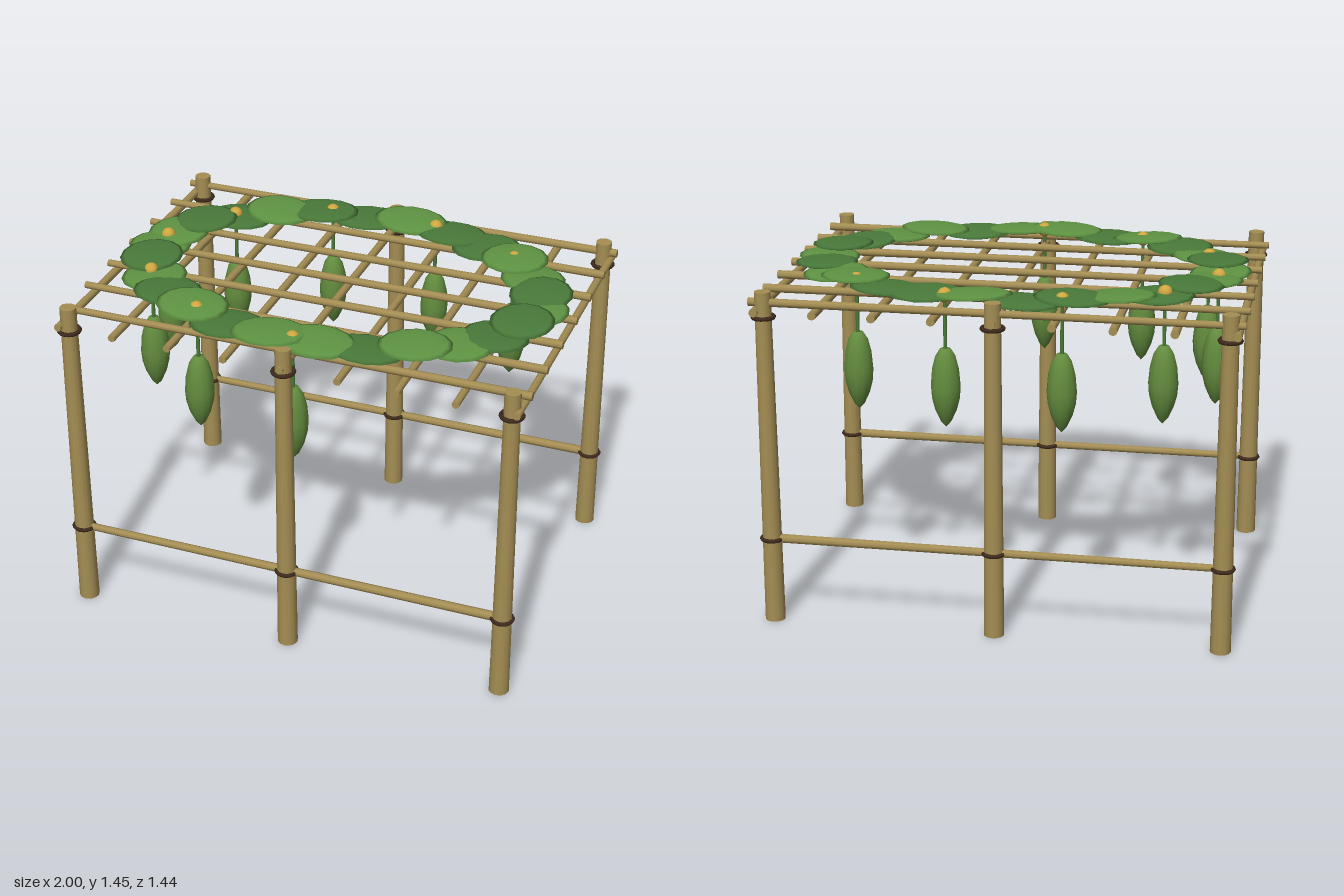
import * as THREE from 'three';

const mat = (color) => new THREE.MeshStandardMaterial({ color });

export function createModel() {
  const model = new THREE.Group();
  const bamboo = mat(0xa58e54), lash = mat(0x3f2b1d), vine = mat(0x4c7c38);
  const gourdMat = mat(0x638c3e), flowerMat = mat(0xcfa640);
  const darkLeaf = mat(0x4a7a3a), lightLeaf = mat(0x5f9443);

  const add = (name, geometry, material, x, y, z) => {
    const mesh = new THREE.Mesh(geometry, material);
    mesh.name = name;
    mesh.position.set(x, y, z);
    model.add(mesh);
    return mesh;
  };

  // Six tapered posts, each lashed near the top and at the lower rail
  const postGeo = new THREE.CylinderGeometry(0.034, 0.043, 1.43, 12);
  const lashGeo = new THREE.TorusGeometry(0.043, 0.009, 6, 16).rotateX(Math.PI / 2);
  const railGeo = new THREE.CylinderGeometry(0.016, 0.02, 1.88, 8).rotateZ(Math.PI / 2);
  for (const z of [-0.67, 0.67]) {
    for (const x of [-0.94, 0, 0.94]) {
      add('post', postGeo, bamboo, x, 0.715, z);
      add('lashing', lashGeo, lash, x, 0.365, z);
      add('lashing', lashGeo, lash, x, 1.325, z);
    }
    // Lower rail between the posts
    add('lowerRail', railGeo, bamboo, 0, 0.365, z);
  }

  // Roof lattice: poles front to back, with poles across on top of them
  const depthPole = new THREE.CylinderGeometry(0.016, 0.018, 1.43, 8).rotateX(Math.PI / 2);
  for (let i = 0; i < 9; i++) add('depthPole', depthPole, bamboo, (i - 4) * 0.2425, 1.35, 0);
  const crossPole = new THREE.CylinderGeometry(0.015, 0.018, 2, 8).rotateZ(Math.PI / 2);
  for (let i = 0; i < 7; i++) add('crossPole', crossPole, bamboo, 0, 1.385, -0.67 + i * 0.2125);

  // Oval wreath of overlapping leaves, wider along the front and back
  const leafGeo = new THREE.SphereGeometry(1, 14, 6);
  const leafCount = 26;
  const lightLeaves = [0, 3, 4, 6, 7, 9, 11, 13, 14, 17, 20, 23, 24];
  for (let i = 0; i < leafCount; i++) {
    const a = (i / leafCount) * Math.PI * 2;
    const c = Math.cos(a), s = Math.sin(a);
    const leaf = add('leaf', leafGeo, lightLeaves.includes(i) ? lightLeaf : darkLeaf,
      0.84 * c, 1.422 + 0.012 * Math.sin(i * 2.3 - 1), 0.57 * s);
    leaf.scale.set(0.13 + 0.035 * s * s, 0.014, 0.125 + 0.02 * c * c);
    leaf.rotation.set(0.05 * Math.sin(i * 2.3), 0, 0.05 * Math.cos(i * 1.7));
  }

  // Hanging gourds, each with its stem and a yellow flower above
  const profile = [[0, 0.865], [0.022, 0.89], [0.045, 0.94], [0.058, 0.99], [0.062, 1.04],
    [0.056, 1.11], [0.042, 1.165], [0.022, 1.198], [0, 1.2]].map(([r, y]) => new THREE.Vector2(r, y));
  const gourdGeo = new THREE.LatheGeometry(profile, 12);
  const stemGeo = new THREE.CylinderGeometry(0.008, 0.008, 0.24, 6);
  const flowerGeo = new THREE.SphereGeometry(0.031, 12, 8);
  const spots = [[-0.26, -0.555], [0.215, -0.565], [0.62, -0.4], [-0.65, -0.375],
    [-0.84, -0.085], [-0.77, 0.24], [-0.455, 0.48], [0, 0.57]];
  for (const [x, z] of spots) {
    add('gourd', gourdGeo, gourdMat, x, 0, z);
    add('gourdStem', stemGeo, vine, x, 1.31, z);
    add('flower', flowerGeo, flowerMat, x, 1.423, z);
  }
  return model;
}
